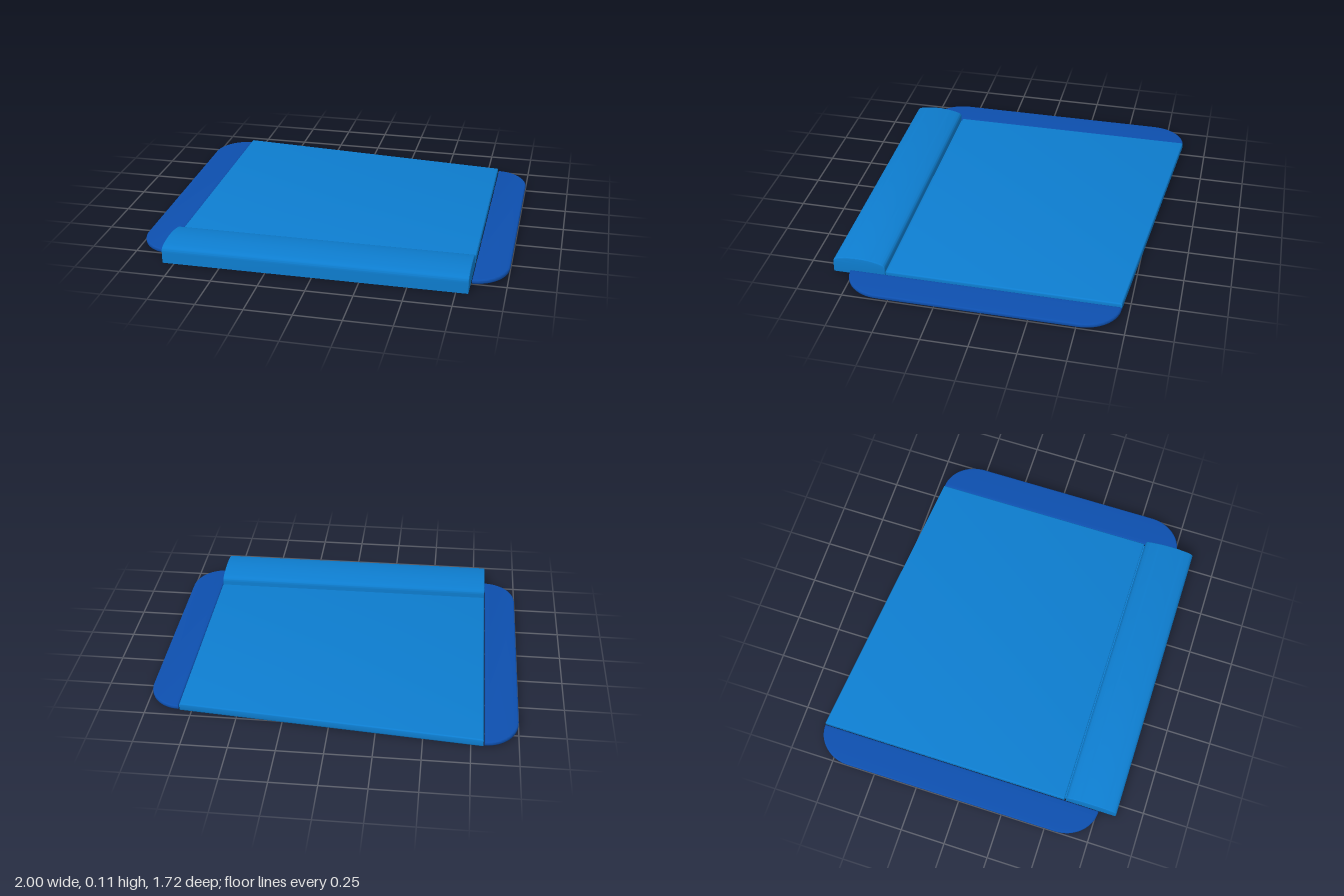
import * as THREE from 'three';
import { toCreasedNormals } from 'three/addons/utils/BufferGeometryUtils.js';

const lightBlue = new THREE.MeshStandardMaterial({ color: 0x0d7dcf });
const darkBlue = new THREE.MeshStandardMaterial({ color: 0x0d4fae });

// Extrude an outline by depth, with a small rounded edge kept inside the outline
function slab(shape, depth, bevel) {
  return new THREE.ExtrudeGeometry(shape, {
    depth: depth - 2 * bevel, curveSegments: 16, bevelEnabled: true, bevelSegments: 3,
    bevelThickness: bevel, bevelSize: bevel, bevelOffset: -bevel,
  }).translate(0, 0, bevel);
}

function part(name, geometry, material) {
  const mesh = new THREE.Mesh(toCreasedNormals(geometry, 0.6), material);
  mesh.name = name;
  return mesh;
}

// Side flap with two rounded outer corners; side is -1 or 1
function sideFlap(name, side, back) {
  const inner = 0.82 * side, outer = side, front = 0.76, r = 0.2, k = 0.45;
  const s = new THREE.Shape();
  s.moveTo(inner, -front);
  s.bezierCurveTo(inner + side * 0.1, -front, outer, -front + r * k, outer, -front + r);
  s.lineTo(outer, -back - r);
  s.bezierCurveTo(outer, -back - r * k, inner + side * 0.1, -back, inner, -back);
  s.closePath();
  const geometry = slab(s, 0.025, 0.008).rotateX(-Math.PI / 2).translate(0, 0.005, 0);
  return part(name, geometry, darkBlue);
}

export function createModel() {
  const model = new THREE.Group();
  model.name = 'flatPad';

  // Main panel with a slanted back edge
  const panel = new THREE.Shape([
    [-0.815, -0.56], [0.815, -0.56], [0.815, 0.71], [-0.815, 0.86],
  ].map(([x, y]) => new THREE.Vector2(x, y)));
  model.add(part('panel', slab(panel, 0.045, 0.008).rotateX(-Math.PI / 2), lightBlue));

  // Raised front bar with a domed top
  const bar = new THREE.Shape();
  bar.moveTo(-0.857, 0);
  bar.lineTo(-0.857, 0.06);
  bar.bezierCurveTo(-0.857, 0.085, -0.845, 0.09, -0.82, 0.096);
  bar.quadraticCurveTo(-0.715, 0.117, -0.61, 0.093);
  bar.bezierCurveTo(-0.58, 0.086, -0.567, 0.08, -0.567, 0.06);
  bar.lineTo(-0.567, 0);
  bar.closePath();
  const barGeometry = slab(bar, 1.63, 0.005).rotateY(Math.PI / 2).translate(-0.815, 0, 0);
  model.add(part('frontBar', barGeometry, lightBlue));

  // Narrow strip under the seam joining panel and bar
  const seam = new THREE.BoxGeometry(1.61, 0.03, 0.03).translate(0, 0.02, 0.563);
  model.add(part('hingeStrip', seam, lightBlue));

  model.add(sideFlap('rightFlap', -1, -0.86), sideFlap('leftFlap', 1, -0.71));
  return model;
}
